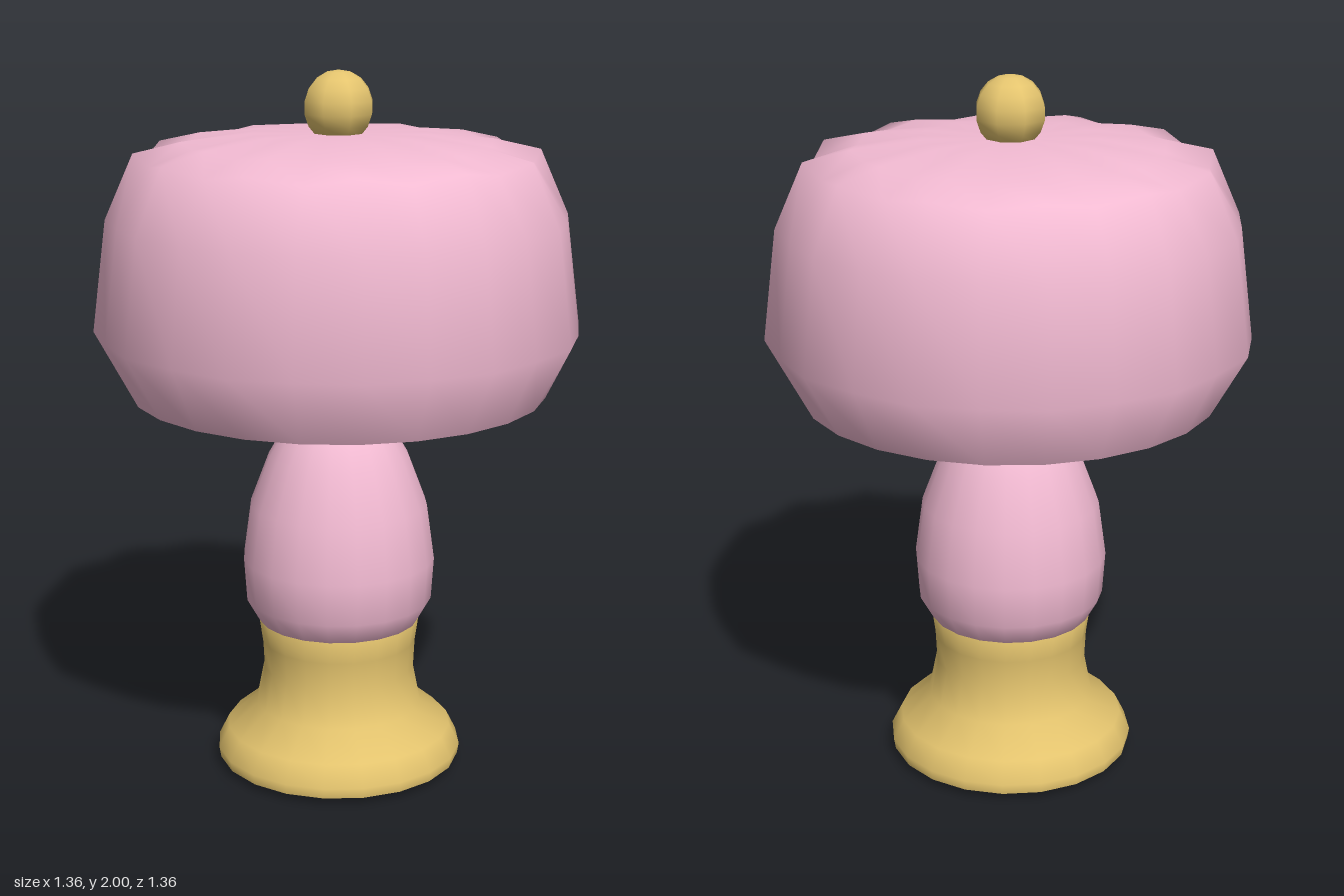
import * as THREE from 'three';
import { mergeVertices } from 'three/addons/utils/BufferGeometryUtils.js';

const pink = new THREE.MeshStandardMaterial({ color: 0xf2bad2, side: THREE.DoubleSide });
const gold = new THREE.MeshStandardMaterial({ color: 0xe4c46e, side: THREE.DoubleSide });

// Turned part from [radius, height] pairs, listed from bottom to top
function turned(name, profile, segments, material) {
  const points = profile.map(([r, y]) => new THREE.Vector2(r, y));
  const mesh = new THREE.Mesh(new THREE.LatheGeometry(points, segments), material);
  mesh.name = name;
  return mesh;
}

// Shade cover: twelve ribs, with panels that sag between them.
// Rows: rib radius, rib height, radius factor between ribs, drop between ribs
function shadeCover() {
  const rows = [
    [0.58, 1.11, 1, 0],
    [0.68, 1.29, 0.98, 0],
    [0.64, 1.6, 0.98, 0],
    [0.56, 1.78, 0.955, 0.02],
    [0.43, 1.81, 0.97, 0.01],
    [0.24, 1.83, 1, 0],
    [0, 1.83, 1, 0],
  ];
  const mesh = turned('shadeCover', rows, 24, pink);
  const geometry = mesh.geometry;
  const pos = geometry.attributes.position;
  for (let i = 0; i < pos.count; i++) {
    const column = Math.floor(i / rows.length);
    if (column % 2 === 0) continue;
    const [, , factor, drop] = rows[i % rows.length];
    pos.setXYZ(i, pos.getX(i) * factor, pos.getY(i) - drop, pos.getZ(i) * factor);
  }
  // Weld the seam so the shading runs all the way round
  geometry.deleteAttribute('uv');
  geometry.deleteAttribute('normal');
  mesh.geometry = mergeVertices(geometry, 1e-4);
  mesh.geometry.computeVertexNormals();
  return mesh;
}

export function createModel() {
  const lamp = new THREE.Group();
  lamp.name = 'tableLamp';

  // Flared foot, rising into the body
  lamp.add(turned('foot', [
    [0.35, 0.02], [0.355, 0.05], [0.325, 0.11], [0.24, 0.18],
    [0.218, 0.29], [0.222, 0.37], [0.232, 0.44], [0.2, 0.48],
  ], 20, gold));
  lamp.add(turned('footUnderside', [[0, 0], [0.26, 0.003], [0.35, 0.02]], 20, gold));

  // Egg-shaped body
  lamp.add(turned('body', [
    [0, 0.41], [0.15, 0.415], [0.225, 0.425], [0.267, 0.5], [0.275, 0.62], [0.253, 0.78],
    [0.2, 0.92], [0.148, 1.01], [0.1, 1.04], [0, 1.045],
  ], 20, pink));

  // Neck and the rod hidden in the shade
  lamp.add(turned('neck', [[0.08, 1.035], [0.07, 1.06], [0.04, 1.09], [0.03, 1.12], [0.03, 1.82]], 12, gold));

  // Shade with an open underside
  const shade = new THREE.Group();
  shade.name = 'shade';
  shade.add(shadeCover());
  shade.add(turned('shadeUnderside', [[0.21, 1.06], [0.58, 1.11]], 24, pink));
  lamp.add(shade);

  // Ball finial
  const finial = new THREE.Mesh(new THREE.SphereGeometry(0.1, 8, 9), gold);
  finial.name = 'finial';
  finial.position.y = 1.9;
  lamp.add(finial);

  return lamp;
}
